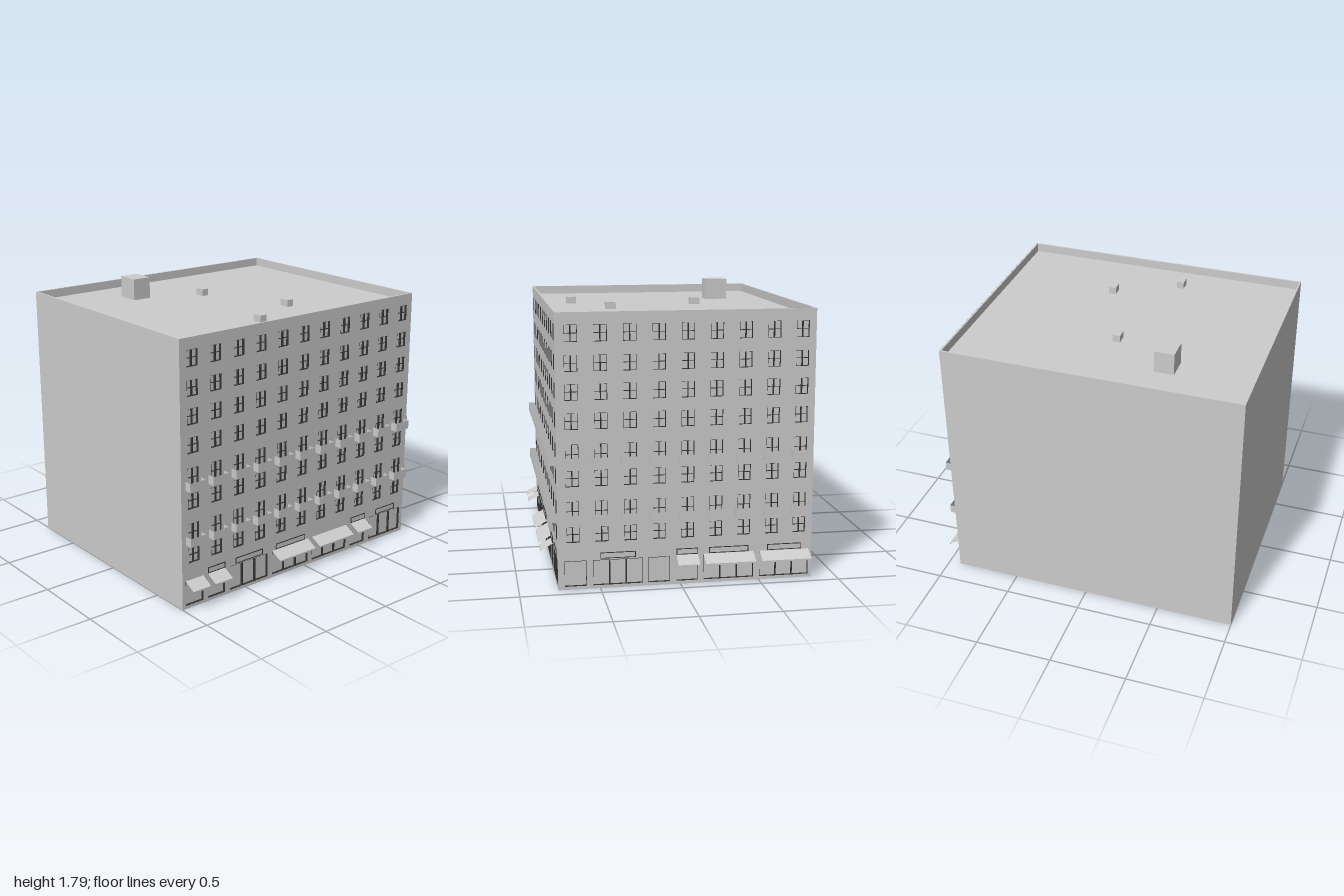
import * as THREE from 'three';
import { mergeGeometries } from 'three/addons/utils/BufferGeometryUtils.js';

const X0 = -0.84, X1 = 0.76, Z0 = -0.92, Z1 = 1.0;
const TOP = 1.706, ROOF = 1.65, PARAPET = 0.012, REVEAL = 0.018;

const grey = new THREE.MeshStandardMaterial({ color: 0xcccccc, side: THREE.DoubleSide });
grey.name = 'plaster grey';
const dark = new THREE.MeshStandardMaterial({ color: 0x333333, side: THREE.DoubleSide });
dark.name = 'dark frame';

function mesh(name, geometry, material, parent) {
  const m = new THREE.Mesh(geometry, material);
  m.name = name;
  parent.add(m);
}

// Box given by its low and high corners
function span(x0, x1, y0, y1, z0, z1) {
  return new THREE.BoxGeometry(x1 - x0, y1 - y0, z1 - z0)
    .translate((x0 + x1) / 2, (y0 + y1) / 2, (z0 + z1) / 2);
}

// Upright sheet in the x-y plane at depth z
function sheet(x0, x1, y0, y1, z) {
  return new THREE.PlaneGeometry(x1 - x0, y1 - y0).translate((x0 + x1) / 2, (y0 + y1) / 2, z);
}

function rect(x0, x1, y0, y1, Kind) {
  return new Kind([
    new THREE.Vector2(x0, y0), new THREE.Vector2(x1, y0),
    new THREE.Vector2(x1, y1), new THREE.Vector2(x0, y1),
  ]);
}

// Four thin strips inside a rectangle, from depth z0 to z1
function border(u0, u1, y0, y1, t, z0, z1) {
  return [
    span(u0, u0 + t, y0, y1, z0, z1), span(u1 - t, u1, y0, y1, z0, z1),
    span(u0, u1, y0, y0 + t, z0, z1), span(u0, u1, y1 - t, y1, z0, z1),
  ];
}

// Window rows as [bottom, top]; the balcony rows have taller doors
const balconyRows = [0.423, 0.777];
const windowRows = [
  [0.298, 0.395], [0.648, 0.748], [1.0, 1.1], [1.178, 1.278], [1.352, 1.45], [1.53, 1.632],
  ...balconyRows.map((y) => [y + 0.004, y + 0.133]),
];

// Facade in its own frame: u along x, outward is +z, outer face at z = 0
function facade(name, u0, u1, columns, shops) {
  const g = new THREE.Group();
  g.name = name;
  const wall = rect(u0, u1, 0, TOP, THREE.Shape);
  const panes = [], frames = [], balconies = [], shopFrames = [], awnings = [], signs = [], signFrames = [];

  // Opening with a dark reveal and a pane at its back
  function opening(a, b, y0, y1, list) {
    wall.holes.push(rect(a, b, y0, y1, THREE.Path));
    panes.push(sheet(a, b, y0, y1, -REVEAL));
    list.push(...border(a, b, y0, y1, 0.0015, -REVEAL, -0.0005));
  }

  for (const u of columns) {
    // Paired casements with a centre post and a cross bar
    for (const [y0, y1] of windowRows) {
      const w = 0.04, ym = (y0 + y1) / 2;
      opening(u - w, u + w, y0, y1, frames);
      frames.push(span(u - 0.003, u + 0.003, y0, y1, -REVEAL, -0.004));
      frames.push(span(u - w, u + w, ym - 0.0015, ym + 0.0015, -REVEAL, -0.01));
    }
    // Open-topped balconies of thin sheet
    for (const y of balconyRows) {
      const w = 0.059, d = 0.048, h = 0.057;
      balconies.push(sheet(u - w, u + w, y, y + h, d));
      balconies.push(new THREE.PlaneGeometry(2 * w, d).rotateX(Math.PI / 2).translate(u, y, d / 2));
      for (const s of [-1, 1]) {
        balconies.push(new THREE.PlaneGeometry(d, h).rotateY(s * Math.PI / 2).translate(u + s * w, y + h / 2, d / 2));
      }
    }
  }

  // Shop fronts, with awnings and framed sign boards on some
  for (const [a, b, hasAwning, signWidth] of shops) {
    const mid = (a + b) / 2, y0 = 0.02, y1 = 0.182;
    opening(a, b, y0, y1, shopFrames);
    const count = b - a > 0.2 ? 3 : 1;
    for (let i = 1; i < count; i++) {
      const u = a + (b - a) * i / count;
      shopFrames.push(span(u - 0.003, u + 0.003, y0, y1, -REVEAL, -0.003));
    }
    shopFrames.push(span(a, b, y1 - 0.004, y1, -REVEAL, -0.003));
    if (hasAwning) {
      const drop = 0.042, out = 0.078;
      awnings.push(new THREE.PlaneGeometry(b - a, Math.hypot(drop, out))
        .rotateX(-Math.atan2(out, drop))
        .translate(mid, 0.187 - drop / 2, out / 2));
      awnings.push(sheet(a, b, 0.134, 0.145, out));
    }
    if (signWidth) {
      const s0 = mid - signWidth / 2, s1 = mid + signWidth / 2;
      signs.push(sheet(s0, s1, 0.19, 0.228, 0.002));
      signFrames.push(...border(s0, s1, 0.19, 0.228, 0.004, 0, 0.005));
    }
  }

  mesh('facadeWall', new THREE.ShapeGeometry(wall), grey, g);
  mesh('panes', mergeGeometries(panes), grey, g);
  mesh('windowFrames', mergeGeometries(frames), dark, g);
  mesh('balconies', mergeGeometries(balconies), grey, g);
  mesh('shopFrames', mergeGeometries(shopFrames), dark, g);
  mesh('awnings', mergeGeometries(awnings), grey, g);
  mesh('signBoards', mergeGeometries(signs), grey, g);
  mesh('signFrames', mergeGeometries(signFrames), dark, g);
  return g;
}

export function createModel() {
  const model = new THREE.Group();
  model.name = 'cornerApartmentBuilding';

  // Blank party walls; the base is open
  mesh('frontWall', sheet(X0, X1, 0, TOP, Z1), grey, model);
  mesh('sideWall', new THREE.PlaneGeometry(Z1 - Z0, TOP).rotateY(-Math.PI / 2)
    .translate(X0, TOP / 2, (Z0 + Z1) / 2), grey, model);

  // Sunken roof inside a parapet
  mesh('roof', new THREE.PlaneGeometry(X1 - X0, Z1 - Z0).rotateX(-Math.PI / 2)
    .translate((X0 + X1) / 2, ROOF, (Z0 + Z1) / 2), grey, model);
  const e = 0.0005;
  const ring = rect(X0 + e, X1 - e, -Z1 + e, -Z0 - e, THREE.Shape);
  ring.holes.push(rect(X0 + PARAPET, X1 - PARAPET, -Z1 + PARAPET, -Z0 - PARAPET, THREE.Path));
  mesh('parapet', new THREE.ExtrudeGeometry(ring, { depth: TOP - ROOF, bevelEnabled: false })
    .rotateX(-Math.PI / 2).translate(0, ROOF, 0), grey, model);

  // Stair housing and vents on the roof
  mesh('stairHousing', span(-0.57, -0.42, ROOF, 1.79, 0.37, 0.497), grey, model);
  for (const [x, z] of [[0.333, -0.19], [-0.27, 0.042], [0.55, 0.222]]) {
    mesh('roofVent', span(x - 0.033, x + 0.033, ROOF, 1.695, z - 0.024, z + 0.024), grey, model);
  }

  // Street facade on +x: u = -z
  const sideColumns = Array.from({ length: 11 }, (_, i) => -0.909 + i * 0.1743);
  const side = facade('sideFacade', -Z1, -Z0, sideColumns, [
    [-0.975, -0.84, true, 0], [-0.805, -0.67, true, 0.135], [-0.63, -0.32, false, 0.22],
    [-0.283, 0.027, true, 0.25], [0.064, 0.374, true, 0], [0.417, 0.55, true, 0.135],
    [0.594, 0.893, false, 0.18],
  ]);
  side.rotation.y = Math.PI / 2;
  side.position.x = X1;
  model.add(side);

  // Street facade on -z: u = -x
  const backColumns = Array.from({ length: 9 }, (_, i) => -0.667 + i * 0.1778);
  const back = facade('backFacade', -X1, -X0, backColumns, [
    [-0.72, -0.585, false, 0], [-0.545, -0.235, false, 0.22], [-0.2, -0.065, false, 0],
    [-0.025, 0.11, true, 0.135], [0.147, 0.465, true, 0.25], [0.505, 0.82, true, 0.22],
  ]);
  back.rotation.y = Math.PI;
  back.position.z = Z0;
  model.add(back);

  return model;
}
